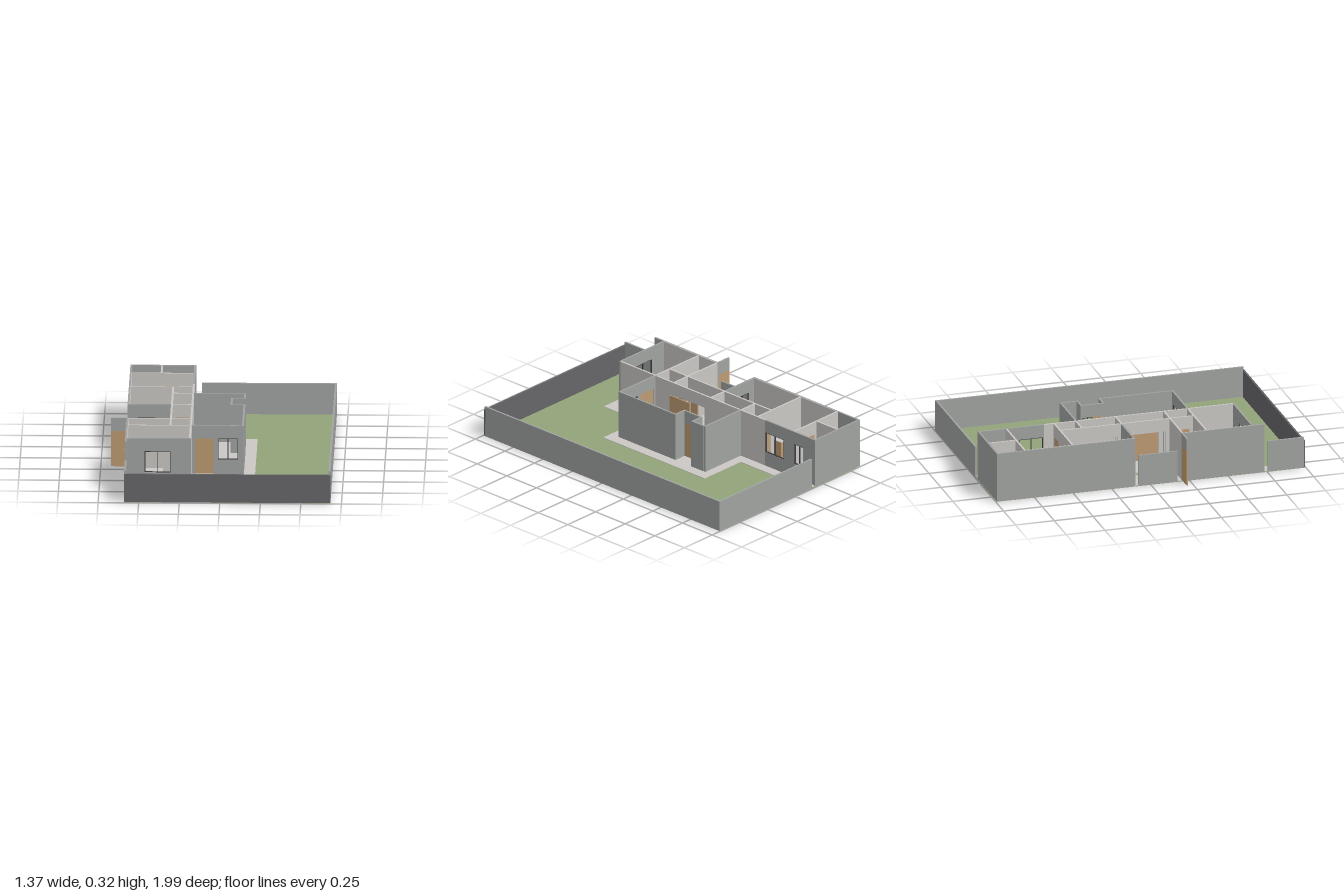
import * as THREE from 'three';

const mat = (name, color) => {
  const m = new THREE.MeshStandardMaterial({ color });
  m.name = name;
  return m;
};

export function createModel() {
  const M = {
    render: mat('grey render', 0xa0a3a1),
    plaster: mat('pale plaster', 0xcac7c4),
    grass: mat('grass', 0x92a47a),
    wood: mat('wood', 0xbd9b72),
    dark: mat('dark boundary', 0x66666a),
    worktop: mat('dark worktop', 0x585859),
    frame: mat('window frame', 0x3c3d3f),
  };
  const model = new THREE.Group();
  model.name = 'houseAndGarden';

  // Box given by its minimum and maximum corners
  const box = (name, m, x0, x1, y0, y1, z0, z1, parent = model) => {
    const mesh = new THREE.Mesh(new THREE.BoxGeometry(x1 - x0, y1 - y0, z1 - z0), m);
    mesh.position.set((x0 + x1) / 2, (y0 + y1) / 2, (z0 + z1) / 2);
    mesh.name = name;
    parent.add(mesh);
    return mesh;
  };

  const H = 0.317, HEAD = 0.235, SILL = 0.1, LOW = 0.203, T = 0.012, F = 0.008;

  // Wall along x or z, centred on line c; openings are [kind, start, end]
  const wall = (name, m, axis, c, a, b, openings = [], h = H) => {
    const g = new THREE.Group();
    g.name = name;
    model.add(g);
    const piece = (n, mm, s, e, y0, y1, t = T) => axis === 'x'
      ? box(n, mm, s, e, y0, y1, c - t / 2, c + t / 2, g)
      : box(n, mm, c - t / 2, c + t / 2, y0, y1, s, e, g);
    let at = a;
    for (const [kind, s, e] of openings) {
      if (s > at) piece('wallPanel', m, at, s, 0.003, h);
      piece('lintel', m, s, e, HEAD, h);
      if (kind === 'window') {
        piece('sillPanel', m, s, e, 0.003, SILL);
        const w = 0.004, mid = (s + e) / 2;
        for (const p of [s, mid - w / 2, e - w]) piece('windowUpright', M.frame, p, p + w, SILL, HEAD, 0.008);
        for (const y of [SILL, HEAD - w]) piece('windowRail', M.frame, s, e, y, y + w, 0.008);
      }
      if (kind === 'door') piece('doorLeaf', M.wood, s, e, F, HEAD, 0.007);
      at = e;
    }
    if (b > at) piece('wallPanel', m, at, b, 0.003, h);
    return g;
  };

  // Lawn, paved apron and indoor floor
  box('lawn', M.grass, -0.59, 0.68, 0.001, 0.005, -0.995, 0.99);
  const pave = (x0, x1, z0, z1) => box('paving', M.plaster, x0, x1, 0, F, z0, z1);
  pave(-0.185, -0.12, -0.99, -0.425);
  pave(-0.185, 0.205, -0.425, -0.36);
  pave(0.135, 0.205, -0.36, 0.365);
  pave(0.05, 0.135, -0.25, -0.11);
  pave(-0.185, 0.205, 0.365, 0.43);
  pave(-0.185, -0.12, 0.43, 0.73);
  pave(-0.59, -0.185, 0.66, 0.73);
  pave(-0.59, -0.51, 0.73, 0.79);
  const floor = (x0, x1, z0, z1) => box('floor', M.plaster, x0, x1, 0.002, F, z0, z1);
  floor(-0.59, -0.185, -0.99, -0.04);
  floor(-0.38, -0.185, -0.04, 0.135);
  floor(-0.59, -0.185, 0.135, 0.66);
  floor(-0.185, 0.135, -0.36, -0.25);
  floor(-0.185, 0.05, -0.25, -0.11);
  floor(-0.185, 0.135, -0.11, 0.365);

  // Boundary walls
  wall('sideBoundary', M.render, 'z', 0.676, -0.995, 0.985, [], LOW);
  wall('backBoundary', M.render, 'x', -0.994, -0.15, 0.682, [], LOW);
  wall('frontBoundary', M.dark, 'x', 0.986, -0.59, 0.682, [], 0.182);
  wall('courtyardBoundary', M.render, 'z', -0.585, -0.08, 0.17, [], LOW);
  wall('gateBoundary', M.render, 'z', -0.585, 0.755, 0.985, [], LOW);

  // Outer walls of the long block
  wall('backWall', M.render, 'x', -0.988, -0.59, -0.185);
  wall('rearSideWall', M.render, 'z', -0.585, -0.99, -0.105);
  wall('frontSideWall', M.render, 'z', -0.585, 0.2, 0.732);
  box('rearWallLining', M.plaster, -0.579, -0.576, F, H, -0.805, -0.11);
  box('frontWallLining', M.plaster, -0.579, -0.576, F, H, 0.21, 0.65);
  wall('frontWall', M.render, 'x', 0.655, -0.579, -0.185, [['window', -0.47, -0.31]]);
  wall('gardenWall', M.render, 'z', -0.191, -0.982, -0.57,
    [['window', -0.9, -0.82], ['window', -0.73, -0.575]]);
  wall('paleRearGardenWall', M.plaster, 'z', -0.191, -0.57, -0.36);
  wall('paleFrontGardenWall', M.plaster, 'z', -0.191, 0.36, 0.649);

  // Living wing with a recessed side entrance
  wall('wingBackWall', M.render, 'x', -0.36, -0.185, 0.135);
  wall('wingFrontWall', M.render, 'x', 0.36, -0.185, 0.135,
    [['door', -0.165, -0.05], ['window', -0.025, 0.1]]);
  wall('wingSideWall', M.render, 'z', 0.13, -0.105, 0.354);
  wall('wingRearSideWall', M.render, 'z', 0.13, -0.354, -0.25);
  wall('recessFrontReturn', M.render, 'x', -0.11, 0.044, 0.136);
  wall('recessBackReturn', M.render, 'x', -0.253, 0.044, 0.136);
  wall('recessWall', M.render, 'z', 0.05, -0.247, -0.116,
    [['window', -0.245, -0.18], ['door', -0.18, -0.12]]);

  // Inner partitions
  wall('spineWall', M.plaster, 'z', -0.191, -0.354, 0.354,
    [['gap', -0.06, 0.0], ['door', 0.0, 0.06], ['gap', 0.06, 0.17]]);
  wall('corridorWall', M.plaster, 'z', -0.317, -0.5, 0.354,
    [['gap', -0.2, -0.13], ['gap', -0.08, 0.18], ['door', 0.25, 0.33]]);
  wall('bathroomPartition', M.plaster, 'x', -0.81, -0.579, -0.197, [['door', -0.37, -0.29]]);
  wall('bathroomDivider', M.plaster, 'z', -0.395, -0.982, -0.816);
  wall('rearBedroomPartition', M.plaster, 'x', -0.502, -0.579, -0.197, [['door', -0.3, -0.215]]);
  wall('corridorEnd', M.plaster, 'x', -0.362, -0.311, -0.197, [['gap', -0.295, -0.21]]);
  wall('courtyardRoomWall', M.render, 'x', -0.106, -0.59, -0.323,
    [['window', -0.53, -0.42], ['door', -0.41, -0.345]]);
  wall('corridorCross', M.plaster, 'x', -0.106, -0.311, -0.197, [['gap', -0.3, -0.21]]);
  wall('hallPartition', M.plaster, 'x', 0.206, -0.579, -0.197, [['gap', -0.3, -0.21]]);
  wall('frontBedroomPartition', M.plaster, 'x', 0.36, -0.579, -0.197, [['door', -0.3, -0.215]]);

  // Projecting entrance leaf with its overpanel
  wall('streetDoor', M.render, 'x', 0.204, -0.686, -0.591, [['door', -0.686, -0.591]]);
  box('streetDoorHandle', M.plaster, -0.612, -0.6, 0.113, 0.117, 0.208, 0.212);

  // Kitchen counter and inset sink
  box('kitchenCabinet', M.plaster, -0.177, -0.115, F, 0.1, -0.34, -0.08);
  box('kitchenWorktop', M.worktop, -0.179, -0.11, 0.1, 0.112, -0.342, -0.077);
  box('kitchenSink', M.plaster, -0.172, -0.116, 0.112, 0.115, -0.26, -0.212);
  box('openDoor', M.wood, -0.173, -0.166, F, HEAD, 0.05, 0.22);

  // Front bed
  box('bedBase', M.wood, -0.57, -0.36, F, 0.04, 0.425, 0.582);
  box('mattress', M.plaster, -0.568, -0.362, 0.04, 0.06, 0.425, 0.577);
  box('bedHeadboard', M.wood, -0.575, -0.568, F, 0.1, 0.425, 0.582);

  // Rear bedroom cupboard
  box('cupboard', M.wood, -0.485, -0.33, F, 0.11, -0.57, -0.51);
  box('cupboardTop', M.plaster, -0.487, -0.328, 0.11, 0.116, -0.572, -0.509);

  // Bathroom and hall fittings
  box('washstand', M.worktop, -0.33, -0.262, F, 0.1, -0.978, -0.93);
  box('toiletSeat', M.plaster, -0.28, -0.24, F, 0.05, -0.885, -0.84);
  box('toiletTank', M.plaster, -0.28, -0.24, F, 0.09, -0.84, -0.818);
  box('hallCabinet', M.worktop, -0.573, -0.515, F, 0.1, 0.24, 0.31);

  return model;
}
